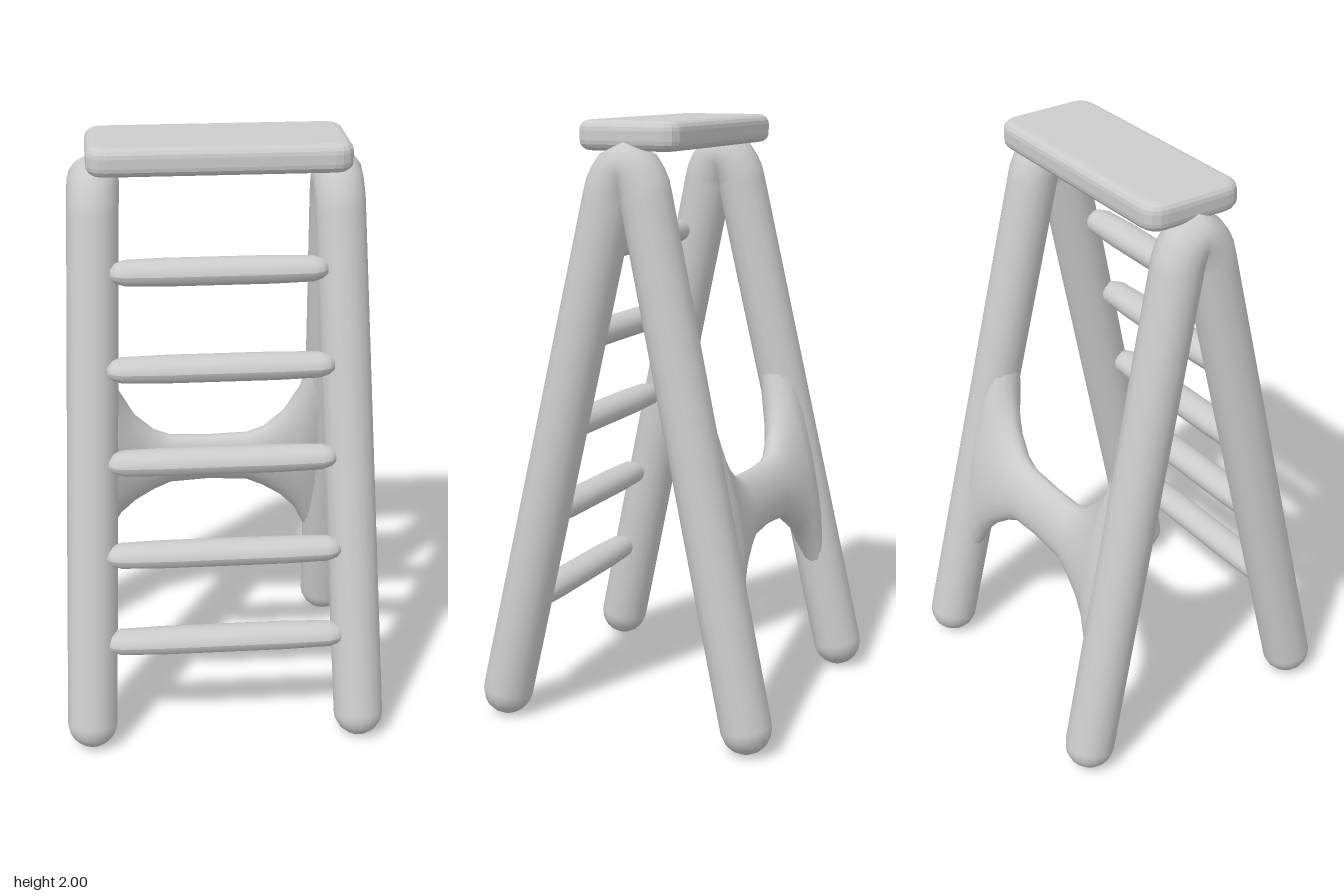
import * as THREE from 'three';

const V = (x, y, z) => new THREE.Vector3(x, y, z);
// Depth of the front leg's centre line at a given height
const legZ = (y) => 0.435 - (y - 0.085) * 0.2216;

export function createModel() {
  const group = new THREE.Group();
  const grey = new THREE.MeshStandardMaterial({ color: 0xcccccc });
  grey.name = 'light grey';
  const add = (name, geometry, x = 0, y = 0, z = 0) => {
    const mesh = new THREE.Mesh(geometry, grey);
    mesh.name = name;
    mesh.position.set(x, y, z);
    group.add(mesh);
    return mesh;
  };

  // Each side is one tube, bent over at the top, with rounded feet
  const R = 0.084;
  for (const s of [-1, 1]) {
    const foot = (d) => V(s * 0.455, 0.088, d * 0.435);
    const neck = (d) => V(s * 0.4, 1.79, d * legZ(1.79));
    const path = new THREE.CurvePath();
    path.add(new THREE.LineCurve3(foot(1), neck(1)));
    path.add(new THREE.QuadraticBezierCurve3(neck(1), V(s * 0.393, 1.925, 0), neck(-1)));
    path.add(new THREE.LineCurve3(neck(-1), foot(-1)));
    const side = s > 0 ? 'left' : 'right';
    add(side + 'LegPair', new THREE.TubeGeometry(path, 120, R, 16));
    for (const d of [-1, 1]) {
      const p = foot(d);
      add(side + (d > 0 ? 'FrontFoot' : 'BackFoot'), new THREE.SphereGeometry(R, 16, 10), p.x, p.y, p.z);
    }
  }

  // Top step: rounded plate with soft edges
  const bevel = 0.032, w = 0.425 - bevel, d = 0.176 - bevel, c = 0.035;
  const plate = new THREE.Shape();
  plate.moveTo(-w + c, -d);
  plate.lineTo(w - c, -d);
  plate.quadraticCurveTo(w, -d, w, -d + c);
  plate.lineTo(w, d - c);
  plate.quadraticCurveTo(w, d, w - c, d);
  plate.lineTo(-w + c, d);
  plate.quadraticCurveTo(-w, d, -w, d - c);
  plate.lineTo(-w, -d + c);
  plate.quadraticCurveTo(-w, -d, -w + c, -d);
  const step = new THREE.ExtrudeGeometry(plate, {
    depth: 0.095 - 2 * bevel, bevelThickness: bevel, bevelSize: bevel, bevelSegments: 4, curveSegments: 4,
  });
  step.rotateX(-Math.PI / 2);
  add('topStep', step, 0.005, 1.905 + bevel, 0);

  // Rungs: oval bars with tapered ends; [height, half length, front edge]
  const rungs = [[0.377, 0.4, 0.457], [0.675, 0.392, 0.404], [0.98, 0.378, 0.335], [1.285, 0.372, 0.278], [1.59, 0.354, 0.203]];
  rungs.forEach(([y, h, front], i) => {
    const profile = [[0, -h], [0.45, -h + 0.003], [0.72, -h + 0.02], [0.92, -h + 0.05], [1, -h * 0.5], [1, 0],
      [1, h * 0.5], [0.92, h - 0.05], [0.72, h - 0.02], [0.45, h - 0.003], [0, h]];
    const bar = new THREE.LatheGeometry(profile.map(([r, t]) => new THREE.Vector2(r, t)), 16);
    bar.rotateZ(-Math.PI / 2);
    bar.scale(1, 0.045, 0.056);
    bar.computeVertexNormals();
    add('rung' + (i + 1), bar, 0, y, front - 0.056);
  });

  // Back brace: oval sections flaring into the legs; [x, bottom, top, half depth]
  const half = [[0, 0.635, 0.825, 0.055], [0.14, 0.625, 0.83, 0.055], [0.2, 0.595, 0.855, 0.06],
    [0.27, 0.545, 0.925, 0.067], [0.325, 0.485, 1.03, 0.075], [0.36, 0.41, 1.18, 0.08], [0.4, 0.33, 1.32, 0.07]];
  const sections = [...half.slice(1).reverse().map(([x, ...r]) => [-x, ...r]), ...half];
  const n = 20, pos = [], index = [];
  sections.forEach(([x, lo, hi, depth], i) => {
    for (let j = 0; j < n; j++) {
      const a = (j / n) * Math.PI * 2;
      const y = (lo + hi) / 2 + Math.sin(a) * (hi - lo) / 2;
      pos.push(x, y, -legZ(y) + Math.cos(a) * depth);
      if (i === 0) continue;
      const k = (j + 1) % n, p = (i - 1) * n, q = i * n;
      index.push(p + j, q + j, p + k, q + j, q + k, p + k);
    }
  });
  const brace = new THREE.BufferGeometry();
  brace.setAttribute('position', new THREE.Float32BufferAttribute(pos, 3));
  brace.setIndex(index);
  brace.computeVertexNormals();
  add('backBrace', brace);

  return group;
}
